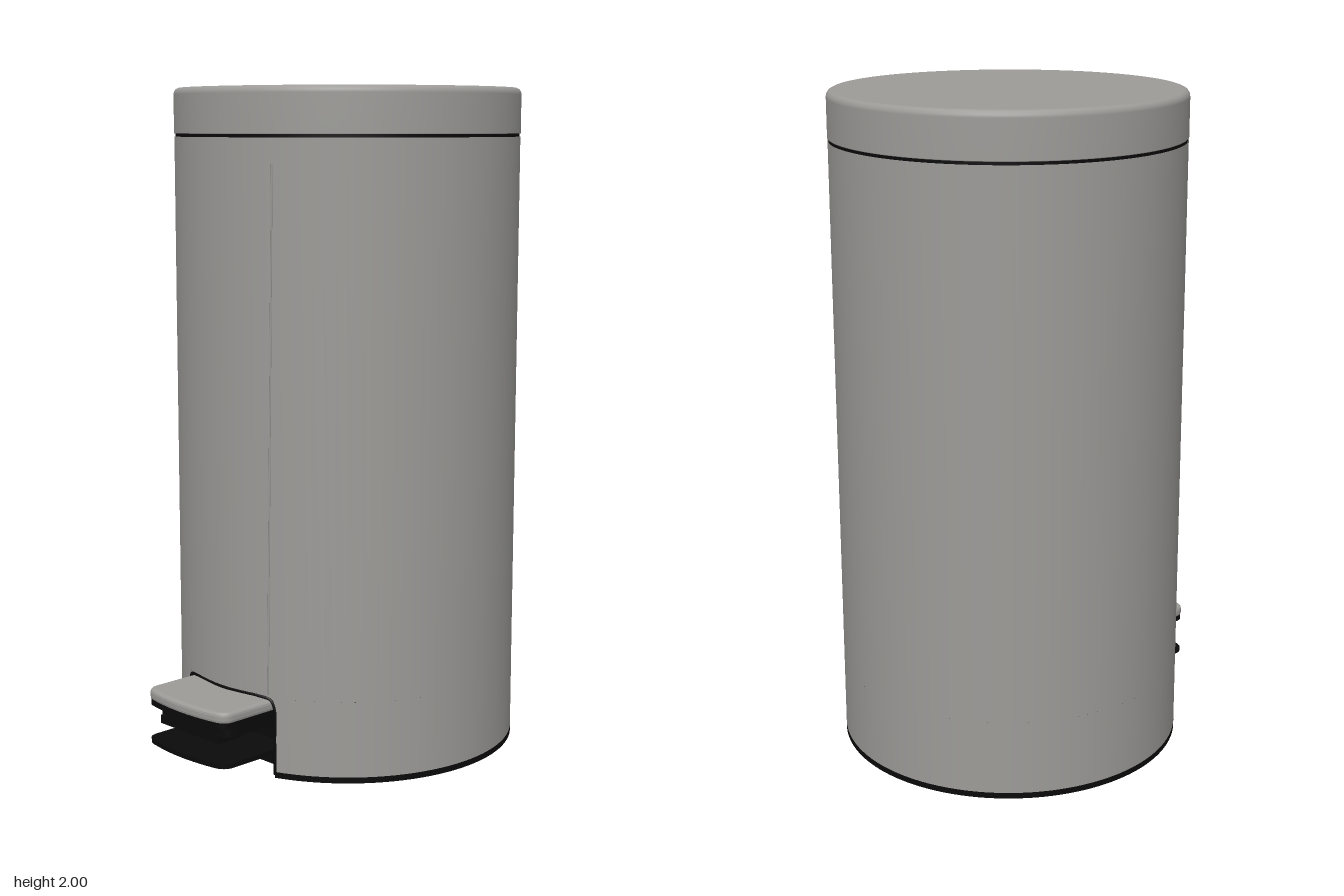
import * as THREE from 'three';

const R = 0.522, CZ = -0.083;      // bin radius and its axis position
const HALF = 0.19;                 // half width of the pedal opening
const A = Math.asin(HALF / R);     // half angle of the pedal opening
const OPEN_Y = 0.245, BACK_Z = 0.33;

export function createModel() {
  const steel = new THREE.MeshStandardMaterial({ color: 0x9c9b98, side: THREE.DoubleSide });
  steel.name = 'brushed steel';
  const black = new THREE.MeshStandardMaterial({ color: 0x0a0a0a, side: THREE.DoubleSide });
  black.name = 'black plastic';

  const group = new THREE.Group();
  group.name = 'pedalBin';
  const add = (name, geo, mat) => {
    const m = new THREE.Mesh(geo, mat);
    m.name = name;
    group.add(m);
    return m;
  };
  const lathe = (name, pts, mat, start = 0, len = Math.PI * 2) =>
    add(name, new THREE.LatheGeometry(pts.map(p => new THREE.Vector2(...p)), 96, start, len)
      .translate(0, 0, CZ), mat);
  const box = (name, w, h, d, x, y, z, mat) =>
    add(name, new THREE.BoxGeometry(w, h, d).translate(x, y, z), mat);
  // Extrude an outline drawn in (x, z) upwards from y0
  const plan = (name, shape, y0, h, mat, bevel = 0) => {
    const geo = new THREE.ExtrudeGeometry(shape, {
      depth: h - 2 * bevel, curveSegments: 64, bevelEnabled: bevel > 0,
      bevelThickness: bevel, bevelSize: bevel, bevelOffset: -bevel, bevelSegments: 3,
    });
    geo.rotateX(Math.PI / 2).translate(0, y0 + h - bevel, 0);
    return add(name, geo, mat);
  };
  // Point on the wall at sideways position x
  const onWall = (x, y, r = R) => new THREE.Vector3(x, y, CZ + Math.sqrt(r * r - x * x));

  // Body wall, with the opening left out of its lower part
  lathe('bodyUpper', [[R, OPEN_Y], [R, 1.857]], steel);
  lathe('bodyLower', [[R, 0.018], [R, OPEN_Y]], steel, A, Math.PI * 2 - 2 * A);

  // Lid and the dark gap below it
  lathe('lidGap', [[R - 0.003, 1.853], [R - 0.003, 1.87]], black);
  lathe('lid', [[0.5, 1.866], [R + 0.001, 1.866], [R + 0.001, 1.868], [R + 0.001, 1.98],
    [R, 1.988], [0.517, 1.996], [0.509, 2], [0.503, 2], [0, 2]], steel);

  // Base disc, notched under the pedal
  const base = new THREE.Shape();
  base.absarc(0, CZ, R, Math.PI / 2 + A, Math.PI * 2.5 - A, false);
  base.lineTo(HALF, BACK_Z);
  base.lineTo(-HALF, BACK_Z);
  plan('base', base, 0, 0.018, black);

  // Pedal housing
  const ceiling = new THREE.Shape();
  ceiling.absarc(0, CZ, R - 0.002, Math.PI / 2 - A, Math.PI / 2 + A, false);
  ceiling.lineTo(-HALF, BACK_Z);
  ceiling.lineTo(HALF, BACK_Z);
  plan('housingCeiling', ceiling, OPEN_Y - 0.006, 0.01, black);
  box('housingBack', HALF * 2, OPEN_Y, 0.01, 0, OPEN_Y / 2, BACK_Z - 0.005, black);

  // Side walls and rounded corners of the opening
  for (const s of [-1, 1]) {
    box('housingSide', 0.008, OPEN_Y, 0.405 - BACK_Z, s * HALF, OPEN_Y / 2,
      (0.395 + BACK_Z) / 2, black);
    const c = new THREE.Shape();
    c.moveTo(s * HALF, OPEN_Y);
    c.lineTo(s * (HALF - 0.03), OPEN_Y);
    c.quadraticCurveTo(s * HALF, OPEN_Y, s * HALF, OPEN_Y - 0.03);
    const geo = new THREE.ShapeGeometry(c, 8), p = geo.attributes.position;
    for (let i = 0; i < p.count; i++) p.setZ(i, onWall(p.getX(i), 0).z);
    geo.computeVertexNormals();
    add('openingCorner', geo, steel);
  }

  // Black trim around the opening
  const trim = [[-HALF, 0.01], [-HALF, 0.12], [-HALF, 0.205], [-0.178, 0.235], [-0.14, 0.243],
    [0, 0.243], [0.14, 0.243], [0.178, 0.235], [HALF, 0.205], [HALF, 0.12], [HALF, 0.01]];
  add('openingTrim', new THREE.TubeGeometry(
    new THREE.CatmullRomCurve3(trim.map(([x, y]) => onWall(x, y, R - 0.001))), 80, 0.005, 6), black);

  // Slightly leaning seam on the front wall
  add('frontSeam', new THREE.TubeGeometry(
    new THREE.LineCurve3(onWall(0.17, 0.25), onWall(0.19, 1.785)), 1, 0.003, 6), steel);

  // Pedal outline with a bowed, round-cornered front
  const pedal = (w, back, front) => {
    const s = new THREE.Shape();
    s.moveTo(-w, back);
    s.lineTo(w, back);
    s.lineTo(w, front - 0.055);
    s.quadraticCurveTo(w, front - 0.018, w - 0.045, front - 0.012);
    s.quadraticCurveTo(0, front + 0.012, -w + 0.045, front - 0.012);
    s.quadraticCurveTo(-w, front - 0.018, -w, front - 0.055);
    return s;
  };
  plan('pedalCap', pedal(0.177, 0.36, 0.605), 0.197, 0.036, steel, 0.012);
  plan('pedalCore', pedal(0.175, 0.34, 0.604), 0.185, 0.018, black);
  plan('pedalUnderside', pedal(0.16, BACK_Z, 0.575), 0.15, 0.036, black);
  box('pedalRib', 0.26, 0.025, 0.09, 0, 0.142, 0.525, black);
  plan('footPlate', pedal(0.175, BACK_Z, 0.605), 0.066, 0.014, black);

  return group;
}
